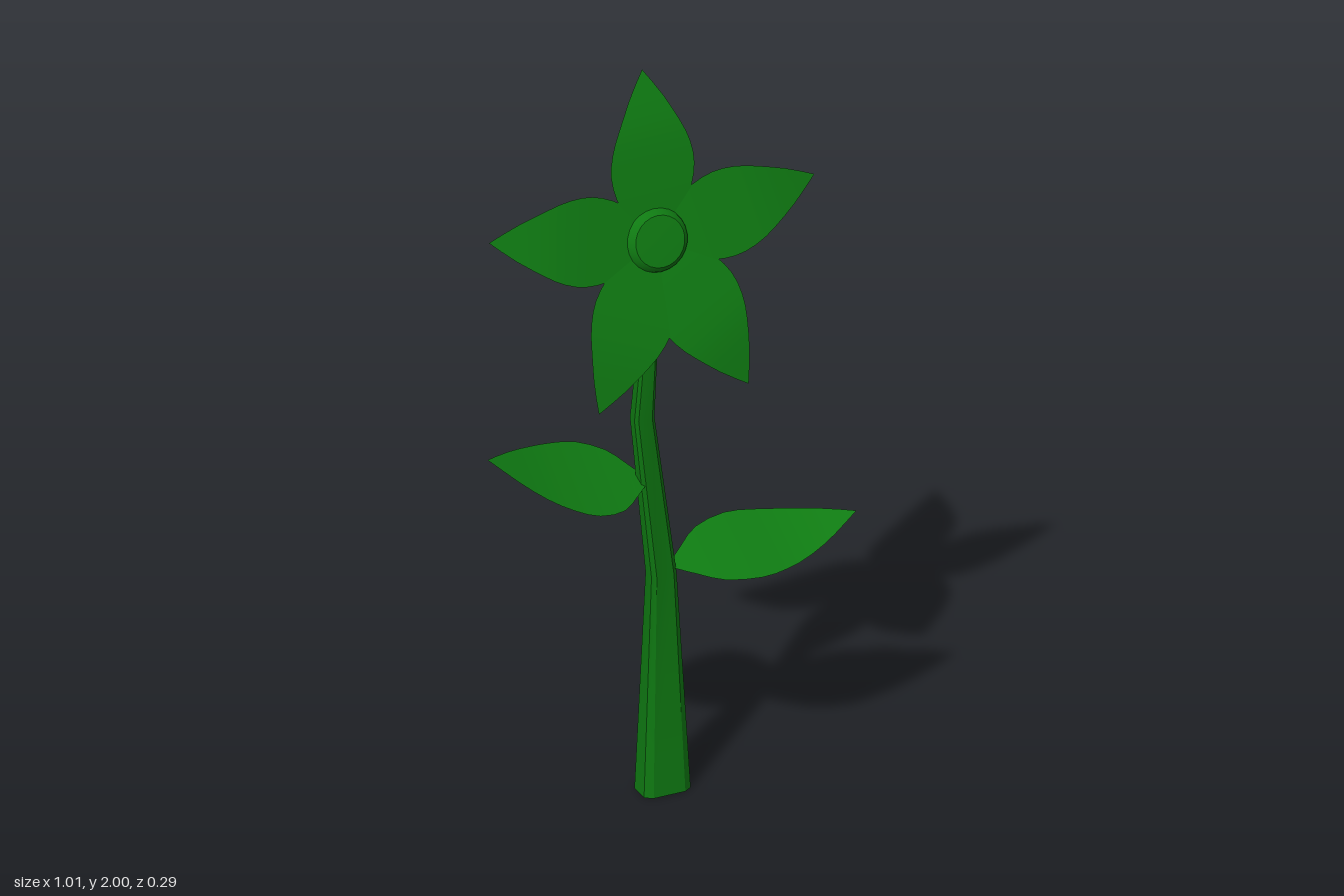
import * as THREE from 'three';
import { toCreasedNormals } from 'three/addons/utils/BufferGeometryUtils.js';

const green = { color: 0x0f7a12 };
const bladeMaterial = new THREE.MeshStandardMaterial({ ...green, side: THREE.DoubleSide });
const V = (x, y, z) => new THREE.Vector3(x, y, z);

// Thin pointed blade: a curved spine with half widths, spread along `across`
function blade(name, spine, widths, across) {
  const curve = new THREE.CatmullRomCurve3(spine);
  const profile = new THREE.SplineCurve(widths.map(([t, w]) => new THREE.Vector2(t, w)));
  const rows = 14, pos = [], index = [];
  for (let i = 0; i <= rows; i++) {
    const w = profile.getPoint(i / rows);
    const c = curve.getPoint(Math.min(1, Math.max(0, w.x)));
    for (const s of [-1, 0, 1]) pos.push(...c.clone().addScaledVector(across, s * w.y).toArray());
    if (i < rows) for (let j = 0; j < 2; j++) {
      const a = i * 3 + j, b = a + 3;
      index.push(a, a + 1, b, a + 1, b + 1, b);
    }
  }
  const g = new THREE.BufferGeometry();
  g.setAttribute('position', new THREE.Float32BufferAttribute(pos, 3));
  g.setIndex(index);
  g.computeVertexNormals();
  const mesh = new THREE.Mesh(g, bladeMaterial);
  mesh.name = name;
  return mesh;
}

// Bent, tapering stem with a chamfered rectangular section
function makeStem() {
  // centre x, y, z, half width, half depth
  const rings = [
    [0.002, 0, -0.06, 0.063, 0.04],
    [-0.001, 0.6, -0.062, 0.034, 0.025],
    [-0.097, 1.1, 0.032, 0.027, 0.019],
    [-0.06, 1.57, 0.028, 0.015, 0.013],
  ];
  const g = new THREE.CylinderGeometry(1, 1, 3, 8, 3, false, Math.PI / 8);
  const p = g.attributes.position;
  const corner = (v) => Math.abs(v) < 0.1 ? 0 : Math.sign(v) * (Math.abs(v) > 0.6 ? 1 : 0.68);
  for (let i = 0; i < p.count; i++) {
    const [x, y, z, hx, hz] = rings[Math.round(p.getY(i) + 1.5)];
    p.setXYZ(i, x + corner(p.getX(i)) * hx, y, z + corner(p.getZ(i)) * hz);
  }
  const mesh = new THREE.Mesh(toCreasedNormals(g, 0.5), new THREE.MeshStandardMaterial(green));
  mesh.name = 'stem';
  return mesh;
}

// Flower head, built facing +z and then tilted back
function makeFlower() {
  const flower = new THREE.Group();
  flower.name = 'flower';
  const profile = [[0, -0.025], [0.06, -0.024], [0.078, -0.014], [0.083, 0],
    [0.078, 0.014], [0.066, 0.024], [0, 0.026]].map(([r, y]) => new THREE.Vector2(r, y));
  const disc = new THREE.LatheGeometry(profile, 24).rotateX(Math.PI / 2);
  const centre = new THREE.Mesh(toCreasedNormals(disc, 0.6), new THREE.MeshStandardMaterial(green));
  centre.name = 'flowerCentre';
  flower.add(centre);

  // angle in degrees and length of each petal
  const petals = [[88, 0.43], [9.5, 0.443], [-64, 0.455], [-117, 0.45], [169, 0.45]];
  const widths = [[0, 0.03], [0.12, 0.065], [0.25, 0.095], [0.37, 0.11], [0.48, 0.111],
    [0.6, 0.098], [0.72, 0.074], [0.86, 0.041], [1, 0]];
  for (const [deg, len] of petals) {
    const spine = [[0, 0], [0.33, 0.012], [0.66, 0.018], [1, 0]].map(([t, z]) => V(t * len, 0, z));
    const petal = blade('petal', spine, widths, V(0, 1, 0));
    petal.rotation.z = THREE.MathUtils.degToRad(deg);
    flower.add(petal);
  }
  flower.position.set(-0.06, 1.585, 0.034);
  flower.rotation.x = -0.262;
  return flower;
}

export function createModel() {
  const model = new THREE.Group();
  model.name = 'flowerPlant';
  model.add(makeStem(), makeFlower());

  // Leaves, one each side, both dipping towards the front
  const widths = [[0, 0.012], [0.1, 0.05], [0.22, 0.09], [0.4, 0.109], [0.55, 0.1],
    [0.7, 0.078], [0.85, 0.044], [1, 0]];
  model.add(
    blade('leftLeaf', [V(0.025, 0.62, -0.05), V(0.18, 0.634, -0.044), V(0.34, 0.639, -0.038),
      V(0.505, 0.675, -0.015)], widths, V(0, -0.34, 1)),
    blade('rightLeaf', [V(-0.07, 0.9, -0.005), V(-0.2, 0.935, 0.002), V(-0.35, 0.99, 0.01),
      V(-0.507, 1.068, 0.015)], widths, V(-0.15, -0.45, 0.95)),
  );
  return model;
}
